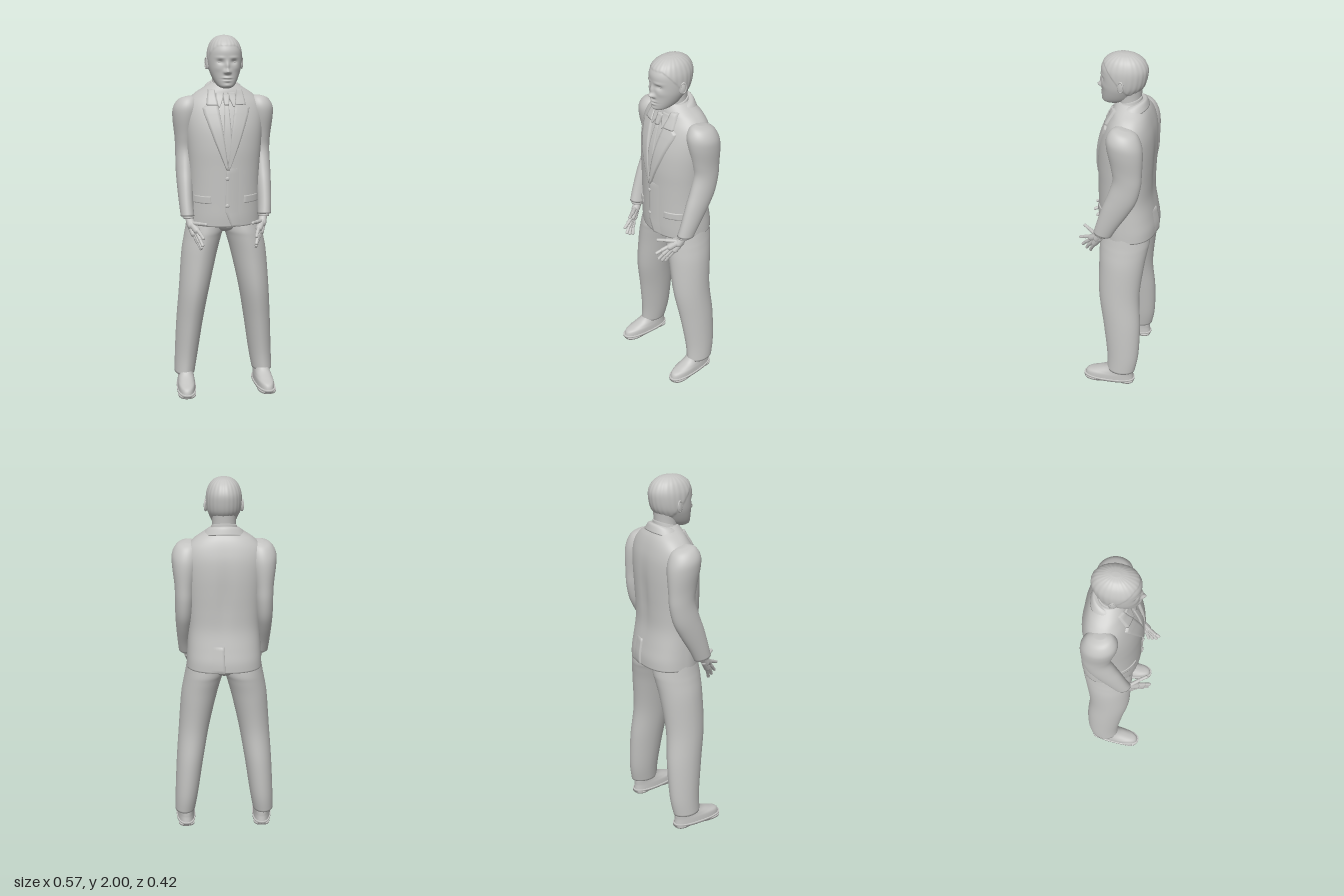
import * as THREE from 'three';

const grey = new THREE.MeshStandardMaterial({ color: 0xc4c4c2, side: THREE.DoubleSide });
grey.name = 'grey';

const clamp = THREE.MathUtils.clamp, lerp = THREE.MathUtils.lerp;

function mesh(name, geometry, parent) {
  const m = new THREE.Mesh(geometry, grey);
  m.name = name;
  parent.add(m);
  return m;
}

// Smooth rows [x, y, z, rx, rz] with a Catmull-Rom spline
function smooth(rows, steps) {
  const out = [];
  for (let i = 0; i < rows.length - 1; i++) {
    const [a, b, c, d] = [rows[Math.max(i - 1, 0)], rows[i], rows[i + 1], rows[Math.min(i + 2, rows.length - 1)]];
    for (let s = 0; s < steps; s++) {
      const t = s / steps;
      out.push(b.map((v, k) => v + 0.5 * t * (c[k] - a[k] +
        t * (2 * a[k] - 5 * v + 4 * c[k] - d[k] + t * (3 * (v - c[k]) + d[k] - a[k])))));
    }
  }
  out.push(rows[rows.length - 1]);
  return out;
}

// Closed skin over horizontal rings, listed from the top down
function loft(rows, { steps = 5, seg = 40, front = 2, back = 2, tilt = 0, deform } = {}) {
  const rings = smooth(rows, steps);
  const cap = r => [r[0], r[1], r[2], 0.0005, 0.0005];
  rings.unshift(cap(rings[0]));
  rings.push(cap(rings[rings.length - 1]));
  const pos = [], index = [], p = new THREE.Vector3();
  rings.forEach(([x, y, z, rx, rz], i) => {
    for (let j = 0; j < seg; j++) {
      const a = j / seg * Math.PI * 2, c = Math.cos(a), s = Math.sin(a);
      const e = 2 / (s >= 0 ? front : back);
      const dz = rz * Math.sign(s) * Math.abs(s) ** e;
      p.set(x + rx * Math.sign(c) * Math.abs(c) ** e, y + tilt * dz, z + dz);
      if (deform) deform(p, a, rx);
      pos.push(p.x, p.y, p.z);
      if (i < rings.length - 1) {
        const k = i * seg + j, n = i * seg + (j + 1) % seg;
        index.push(k, n, k + seg, n, n + seg, k + seg);
      }
    }
  });
  const g = new THREE.BufferGeometry();
  g.setAttribute('position', new THREE.Float32BufferAttribute(pos, 3));
  g.setIndex(index);
  g.computeVertexNormals();
  return g;
}

const torso = [
  [0, 1.745, -0.045, 0.07, 0.065], [0, 1.715, -0.046, 0.115, 0.084], [0, 1.685, -0.05, 0.16, 0.098],
  [0, 1.64, -0.047, 0.2, 0.117], [0, 1.58, -0.042, 0.215, 0.135], [0, 1.5, -0.034, 0.213, 0.148],
  [0, 1.4, -0.028, 0.205, 0.152], [0, 1.3, -0.026, 0.198, 0.15], [0, 1.2, -0.026, 0.195, 0.15],
  [0, 1.1, -0.034, 0.2, 0.158], [0, 1.03, -0.04, 0.204, 0.164], [0, 0.975, -0.042, 0.206, 0.163]];
const torsoRings = smooth(torso, 5);

// Depth of the jacket surface at x, y
function jacketZ(x, y, back) {
  let i = torsoRings.findIndex(r => r[1] <= y);
  i = i < 0 ? torsoRings.length - 1 : Math.max(i, 1);
  const a = torsoRings[i - 1], b = torsoRings[i];
  const t = clamp((y - a[1]) / (b[1] - a[1]), 0, 1);
  const [, , z, rx, rz] = a.map((v, k) => lerp(v, b[k], t));
  const u = Math.min(Math.abs(x / rx), 0.99);
  return back ? z - rz * (1 - u ** 2.5) ** 0.4 : z + rz * Math.sqrt(1 - u * u);
}

// Raised cloth piece on the jacket: edges [y, x0, x1] from the top down
function cloth(edges, height, { back = false, fade = false } = {}) {
  const us = [0, 0.05, 0.2, 0.4, 0.6, 0.8, 0.95, 1], pos = [], index = [], n = us.length;
  const rows = [];
  edges.slice(1).forEach((e, i) => {
    for (let s = 0; s < 8; s++) rows.push(edges[i].map((v, k) => lerp(v, e[k], s / 8)));
  });
  rows.push(edges[edges.length - 1]);
  rows.unshift(rows[0]);
  rows.push(rows[rows.length - 1]);
  rows.forEach(([y, x0, x1], i) => {
    const end = i === 0 || i === rows.length - 1;
    us.forEach((u, j) => {
      const x = lerp(x0, x1, u);
      const rise = Math.min(1, u / 0.05) * (fade ? 1 - u : Math.min(1, (1 - u) / 0.05));
      const h = (end ? 0 : height * rise) - 0.001;
      pos.push(x, y, jacketZ(x, y, back) + (back ? -h : h));
      if (i < rows.length - 1 && j < n - 1) {
        const k = i * n + j;
        const quad = [k, k + n, k + 1, k + 1, k + n, k + n + 1];
        index.push(...((x1 > x0) !== back ? quad : quad.reverse()));
      }
    });
  });
  const g = new THREE.BufferGeometry();
  g.setAttribute('position', new THREE.Float32BufferAttribute(pos, 3));
  g.setIndex(index);
  g.computeVertexNormals();
  return g;
}

// Rounded rod between two points
function rod(name, a, b, r, parent) {
  const p = new THREE.Vector3(...a), q = new THREE.Vector3(...b), d = q.clone().sub(p);
  const m = mesh(name, new THREE.CapsuleGeometry(r, d.length(), 5, 12), parent);
  m.position.copy(p).add(q).multiplyScalar(0.5);
  m.quaternion.setFromUnitVectors(new THREE.Vector3(0, 1, 0), d.normalize());
  return m;
}

function ball(name, at, scale, parent) {
  const m = mesh(name, new THREE.SphereGeometry(1, 24, 16), parent);
  m.position.set(...at);
  m.scale.set(...scale);
  return m;
}

// Face relief: [x, y, width, height, depth], mirrored in x
const relief = [
  [0, 1.814, 0.014, 0.012, 0.025], [0, 1.842, 0.009, 0.022, 0.013], [0.014, 1.81, 0.007, 0.007, 0.006],
  [0.036, 1.864, 0.017, 0.011, -0.011], [0.036, 1.886, 0.024, 0.007, 0.004], [0.05, 1.83, 0.02, 0.016, 0.003],
  [0, 1.781, 0.02, 0.006, 0.009], [0, 1.765, 0.017, 0.006, 0.008], [0, 1.773, 0.024, 0.0025, -0.006],
  [0, 1.742, 0.02, 0.01, 0.004]];
function sculptHead(p, a, rx) {
  if (p.z > 0.02) {
    let dz = 0;
    for (const [x, y, w, h, d] of relief)
      dz += d * Math.exp(-(((Math.abs(p.x) - x) / w) ** 2) - ((p.y - y) / h) ** 2);
    p.z += dz;
  }
  // Close-cropped hair with fine ridges
  const line = lerp(1.775, 1.945, clamp((p.z + 0.06) / 0.14, 0, 1));
  const hair = clamp((p.y - line) / 0.008, 0, 1) * clamp(rx / 0.04, 0, 1);
  const k = hair * (0.003 + 0.0008 * Math.sin(a * 24));
  p.x += Math.cos(a) * k;
  p.z += Math.sin(a) * k;
}

function buildSide(name) {
  const g = new THREE.Group();
  g.name = name;
  mesh('sleeve', loft([
    [0.185, 1.672, -0.06, 0.02, 0.03], [0.193, 1.655, -0.06, 0.055, 0.066], [0.2, 1.61, -0.06, 0.075, 0.09],
    [0.205, 1.55, -0.065, 0.072, 0.094], [0.21, 1.45, -0.075, 0.056, 0.082], [0.212, 1.37, -0.078, 0.051, 0.075],
    [0.215, 1.28, -0.055, 0.049, 0.077], [0.217, 1.2, -0.02, 0.045, 0.072], [0.217, 1.1, 0.026, 0.039, 0.058],
    [0.213, 1.03, 0.055, 0.037, 0.05]], { tilt: 0.18 }), g);
  mesh('shirtCuff', loft([[0.212, 1.05, 0.052, 0.03, 0.04], [0.209, 1.018, 0.062, 0.03, 0.04]], { tilt: 0.18 }), g);

  // Hand
  rod('wrist', [0.21, 1.04, 0.05], [0.196, 0.985, 0.09], 0.023, g);
  rod('palmFront', [0.2, 1.0, 0.08], [0.172, 0.965, 0.13], 0.019, g);
  rod('palmBack', [0.203, 0.99, 0.075], [0.186, 0.942, 0.107], 0.018, g);
  const fingers = [
    [[0.168, 0.968, 0.138], [0.155, 0.952, 0.17], [0.145, 0.938, 0.2]],
    [[0.172, 0.955, 0.13], [0.158, 0.923, 0.163], [0.147, 0.895, 0.187]],
    [[0.178, 0.945, 0.12], [0.163, 0.908, 0.148], [0.15, 0.877, 0.165]],
    [[0.185, 0.937, 0.108], [0.168, 0.9, 0.128], [0.152, 0.866, 0.143]],
    [[0.195, 0.998, 0.09], [0.155, 1.003, 0.14], [0.128, 1.008, 0.178]]];
  fingers.forEach(([a, b, c], i) => {
    const n = i === 4 ? 'thumb' : 'finger';
    rod(n, a, b, 0.0105, g);
    rod(n + 'Tip', b, c, 0.0088, g);
  });

  mesh('trouserLeg', loft([
    [0.098, 1.05, -0.05, 0.098, 0.125], [0.106, 0.95, -0.044, 0.107, 0.138], [0.118, 0.9, -0.04, 0.105, 0.136],
    [0.14, 0.8, -0.033, 0.1, 0.128], [0.17, 0.6, -0.026, 0.086, 0.116], [0.195, 0.4, -0.047, 0.076, 0.107],
    [0.215, 0.2, -0.058, 0.066, 0.093], [0.227, 0.085, -0.05, 0.058, 0.083]], { front: 1.85, steps: 6 }), g);

  // Shoe, turned slightly outward
  const shoe = new THREE.Group();
  shoe.name = 'shoe';
  shoe.position.set(0.224, 0, 0);
  shoe.rotation.y = 0.06;
  g.add(shoe);
  mesh('shoeUpper', loft([
    [0, 0.13, -0.05, 0.038, 0.06], [0, 0.09, -0.036, 0.043, 0.085], [0, 0.066, -0.008, 0.046, 0.114],
    [0, 0.048, 0.016, 0.049, 0.138], [0, 0.016, 0.02, 0.051, 0.146]], { front: 2.3, back: 2.4 }), shoe);
  const slab = (name, y0, y1, z, rx, rz) => mesh(name,
    loft([[0, y1, z, rx, rz], [0, y0, z, rx, rz]], { front: 2.4, back: 2.5, steps: 1 }), shoe);
  slab('sole', 0.008, 0.022, 0.021, 0.055, 0.152);
  slab('heel', 0, 0.012, -0.08, 0.046, 0.048);
  slab('forefoot', 0, 0.012, 0.092, 0.051, 0.077);

  // Ear and eye
  const ear = ball('ear', [0.092, 1.85, -0.012], [0.008, 0.031, 0.018], g);
  ear.rotation.set(-0.15, -0.35, 0);
  const rim = mesh('earRim', new THREE.TorusGeometry(0.021, 0.0045, 8, 24), g);
  rim.position.set(0.096, 1.852, -0.015);
  rim.rotation.set(0, Math.PI / 2 - 0.35, 0);
  rim.scale.set(0.75, 1.3, 1);
  ball('eye', [0.036, 1.864, 0.081], [0.014, 0.007, 0.008], g);

  // Jacket and shirt collars, lapel and pocket
  mesh('shirtCollarPoint', cloth([[1.7, 0.008, 0.055], [1.67, 0.015, 0.055], [1.625, 0.036, 0.044]], 0.009), g);
  mesh('collarWing', cloth([[1.715, 0.058, 0.092], [1.68, 0.054, 0.1], [1.635, 0.044, 0.108]], 0.013), g);
  mesh('lapel', cloth([[1.645, 0.047, 0.092], [1.62, 0.042, 0.128], [1.59, 0.037, 0.122], [1.45, 0.016, 0.072],
    [1.29, -0.003, 0.008]], 0.012), g);
  mesh('pocketFlap', cloth([[1.145, 0.09, 0.178], [1.105, 0.088, 0.18]], 0.007), g);
  return g;
}

export function createModel() {
  const man = new THREE.Group();
  man.name = 'standingMan';

  mesh('head', loft([
    [0, 1.999, -0.015, 0.012, 0.02], [0, 1.99, -0.014, 0.042, 0.058], [0, 1.965, -0.013, 0.07, 0.096],
    [0, 1.925, -0.012, 0.087, 0.118], [0, 1.88, -0.011, 0.091, 0.118], [0, 1.83, -0.005, 0.087, 0.11],
    [0, 1.79, 0.01, 0.075, 0.094], [0, 1.755, 0.026, 0.059, 0.078], [0, 1.735, 0.045, 0.043, 0.056],
    [0, 1.725, 0.055, 0.024, 0.035]], { steps: 9, seg: 112, front: 2.15, deform: sculptHead }), man);
  mesh('neck', loft([
    [0, 1.83, -0.045, 0.066, 0.062], [0, 1.77, -0.042, 0.062, 0.06], [0, 1.7, -0.04, 0.064, 0.06]]), man);
  mesh('shirtCollar', loft([
    [0, 1.752, -0.04, 0.067, 0.066], [0, 1.7, -0.036, 0.08, 0.074]], { tilt: -0.3 }), man);
  mesh('jacketCollar', loft([
    [0, 1.737, -0.046, 0.08, 0.075], [0, 1.725, -0.046, 0.098, 0.085], [0, 1.69, -0.05, 0.122, 0.092]],
  { tilt: -0.3 }), man);

  // Jacket with a shallow groove down the spine
  mesh('jacket', loft(torso, {
    seg: 72, back: 2.5, deform: p => {
      if (p.z < -0.1) p.z += 0.008 * Math.exp(-((p.x / 0.03) ** 2) - ((p.y - 1.38) / 0.16) ** 2);
    } }), man);
  mesh('frontOverlap', cloth([[1.3, -0.01, 0.07], [1.06, -0.014, 0.07], [0.978, 0.02, 0.08]], 0.008, { fade: true }), man);
  mesh('backVent', cloth([[1.12, 0.002, 0.07], [0.978, -0.004, 0.08]], 0.01, { back: true, fade: true }), man);
  for (const y of [1.245, 1.095]) {
    const b = ball('button', [-0.004, y, jacketZ(0, y) + 0.007], [0.011, 0.011, 0.005], man);
    b.rotation.x = 0.02;
  }

  // Tie and trouser seat
  mesh('tieKnot', cloth([[1.69, -0.02, 0.02], [1.635, -0.013, 0.013]], 0.015), man);
  mesh('tie', cloth([[1.637, -0.012, 0.012], [1.45, -0.024, 0.024], [1.33, -0.014, 0.014]], 0.008), man);
  ball('trouserSeat', [0, 0.975, -0.045], [0.09, 0.055, 0.125], man);

  const left = buildSide('leftSide'), right = buildSide('rightSide');
  right.scale.x = -1;
  man.add(left, right);
  return man;
}
